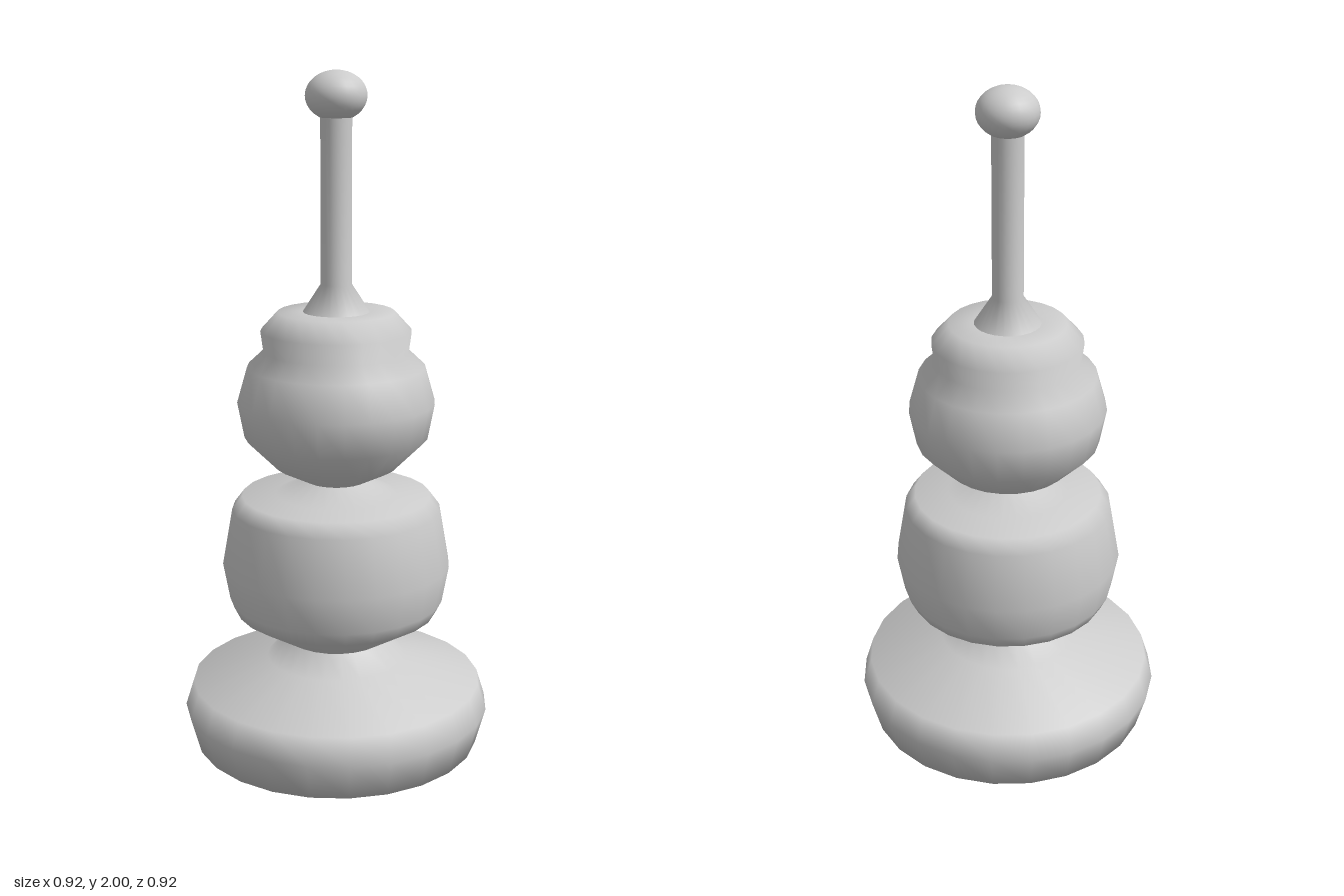
import * as THREE from 'three';

const SIDES = 24;

export function createModel() {
  const group = new THREE.Group();
  group.name = 'turnedTower';
  const material = new THREE.MeshStandardMaterial({ color: 0xcccccc });

  const add = (name, geometry) => {
    const mesh = new THREE.Mesh(geometry, material);
    mesh.name = name;
    group.add(mesh);
    return mesh;
  };
  // Turned part from [radius, height] pairs, listed bottom to top
  const turn = (name, profile) =>
    add(name, new THREE.LatheGeometry(profile.map(([r, y]) => new THREE.Vector2(r, y)), SIDES));

  // Wide foot with a sloping shoulder
  turn('base', [[0, 0], [0.43, 0], [0.46, 0.11], [0.435, 0.19], [0.21, 0.26], [0.15, 0.32]]);

  // Barrel-shaped middle, narrowing to the upper neck
  turn('lowerBody', [
    [0.15, 0.32], [0.3, 0.41], [0.32, 0.45], [0.34, 0.56], [0.31, 0.73],
    [0.28, 0.77], [0.18, 0.775], [0.09, 0.815],
  ]);

  // Round bulb with a collar on top
  turn('upperBody', [
    [0.09, 0.815], [0.18, 0.86], [0.27, 0.95], [0.29, 1.055], [0.26, 1.16],
    [0.212, 1.205], [0.22, 1.265], [0.17, 1.32], [0.09, 1.32],
  ]);

  // Thin rod with a flared foot
  turn('rod', [[0.1, 1.315], [0.045, 1.4], [0.045, 1.88]]);

  // Slightly flattened ball at the tip
  const ball = add('tipBall', new THREE.SphereGeometry(0.088, SIDES, 16));
  ball.scale.y = 0.8;
  ball.position.y = 1.93;

  return group;
}
